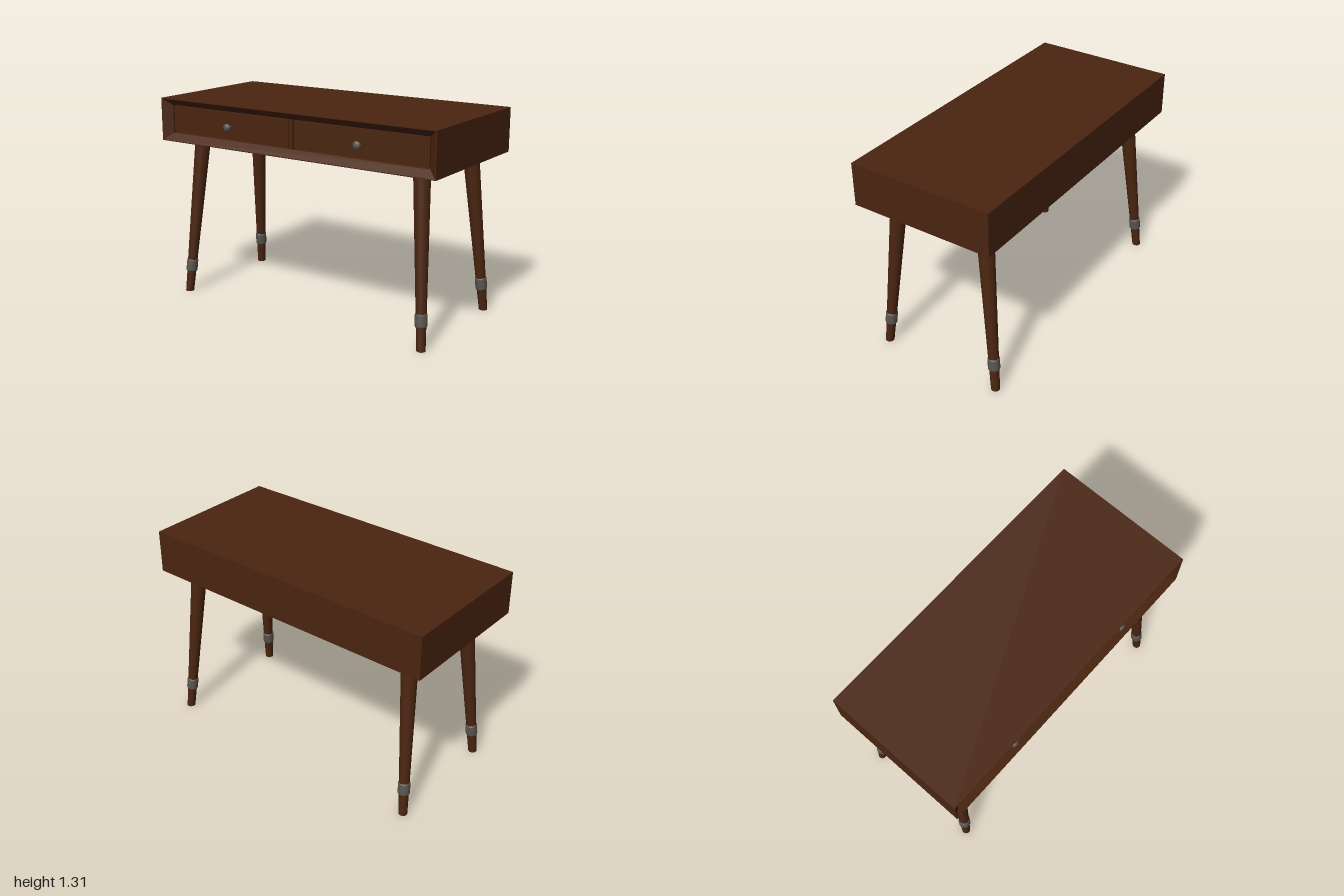
import * as THREE from 'three';

const wood = new THREE.MeshStandardMaterial({ color: 0x4a2510 });
wood.name = 'walnut wood';
const metal = new THREE.MeshStandardMaterial({ color: 0x5a5550 });
metal.name = 'dark metal';

function add(parent, name, geometry, material, x = 0, y = 0, z = 0) {
  const mesh = new THREE.Mesh(geometry, material);
  mesh.name = name;
  mesh.position.set(x, y, z);
  parent.add(mesh);
  return mesh;
}

// Closed shell through successive rectangles [halfWidth, bottom, top, z], capped at both ends
function rectLoft(rings) {
  const corners = rings.map(([w, b, t, z]) => [[-w, b, z], [w, b, z], [w, t, z], [-w, t, z]]);
  const pos = [];
  const quad = (a, b, c, d) => pos.push(...a, ...b, ...c, ...a, ...c, ...d);
  const first = corners[0], last = corners[corners.length - 1];
  quad(first[3], first[2], first[1], first[0]);
  for (let i = 0; i < corners.length - 1; i++) {
    for (let k = 0; k < 4; k++) {
      const n = (k + 1) % 4;
      quad(corners[i][k], corners[i][n], corners[i + 1][n], corners[i + 1][k]);
    }
  }
  quad(...last);
  const g = new THREE.BufferGeometry();
  g.setAttribute('position', new THREE.Float32BufferAttribute(pos, 3));
  g.computeVertexNormals();
  return g;
}

// Splayed tapering leg with a metal collar, from its foot centre to its top centre
function makeLeg(name, foot, top) {
  const leg = new THREE.Group();
  leg.name = name;
  const axis = top.clone().sub(foot);
  const height = axis.y;
  // Shear each upright part along the leg axis so that its ends stay level
  const lean = (g, yMid) => {
    const p = g.attributes.position;
    for (let i = 0; i < p.count; i++) {
      const y = p.getY(i) + yMid;
      p.setXYZ(i, p.getX(i) + foot.x + axis.x * y / height, y, p.getZ(i) + foot.z + axis.z * y / height);
    }
    g.computeVertexNormals();
    return g;
  };
  add(leg, 'taperedLeg', lean(new THREE.CylinderGeometry(0.051, 0.027, height, 24), height / 2), wood);
  const collar = [[0.027, -0.04], [0.034, -0.04], [0.037, -0.032], [0.037, 0.03], [0.035, 0.04], [0.027, 0.04]]
    .map(([r, y]) => new THREE.Vector2(r, y));
  const ring = new THREE.LatheGeometry(collar, 24);
  // Tilt the collar square to the leg
  const tilt = new THREE.Quaternion().setFromUnitVectors(new THREE.Vector3(0, 1, 0), axis.clone().normalize());
  const mesh = add(leg, 'collar', ring, metal);
  mesh.position.copy(foot).addScaledVector(axis, 0.18 / height);
  mesh.quaternion.copy(tilt);
  return leg;
}

export function createModel() {
  const desk = new THREE.Group();
  desk.name = 'desk';

  // Case with a mitred, inward sloping front frame and a shallow drawer recess
  add(desk, 'case', rectLoft([
    [1, 1.035, 1.31, -0.465],
    [1, 1.035, 1.31, 0.465],
    [0.995, 1.04, 1.305, 0.465],
    [0.942, 1.082, 1.264, 0.42],
    [0.942, 1.082, 1.264, 0.39],
  ]), wood);

  // Divider and two drawers with narrow gaps around them
  add(desk, 'divider', new THREE.BoxGeometry(0.026, 0.182, 0.035), wood, 0, 1.173, 0.4035);
  for (const side of [-1, 1]) {
    const drawer = new THREE.Group();
    drawer.name = side < 0 ? 'rightDrawer' : 'leftDrawer';
    drawer.position.set(side * 0.477, 1.173, 0);
    add(drawer, 'drawerFront', new THREE.BoxGeometry(0.914, 0.17, 0.03), wood, 0, 0, 0.402);
    const stem = add(drawer, 'knobStem', new THREE.CylinderGeometry(0.011, 0.014, 0.02, 12), metal, 0, -0.007, 0.425);
    stem.rotation.x = Math.PI / 2;
    const knob = add(drawer, 'knob', new THREE.SphereGeometry(0.025, 12, 8), metal, 0, -0.007, 0.443);
    knob.scale.z = 0.6;
    desk.add(drawer);
  }

  // Four splayed legs
  for (const side of [-1, 1]) {
    const shift = side * 0.0075;
    const label = side < 0 ? 'Right' : 'Left';
    desk.add(makeLeg('front' + label + 'Leg',
      new THREE.Vector3(side * 0.896, 0, 0.385 + shift), new THREE.Vector3(side * 0.82, 1.04, 0.285 + shift)));
    desk.add(makeLeg('back' + label + 'Leg',
      new THREE.Vector3(side * 0.896, 0, -0.41 - shift), new THREE.Vector3(side * 0.82, 1.04, -0.305 - shift)));
  }
  return desk;
}
